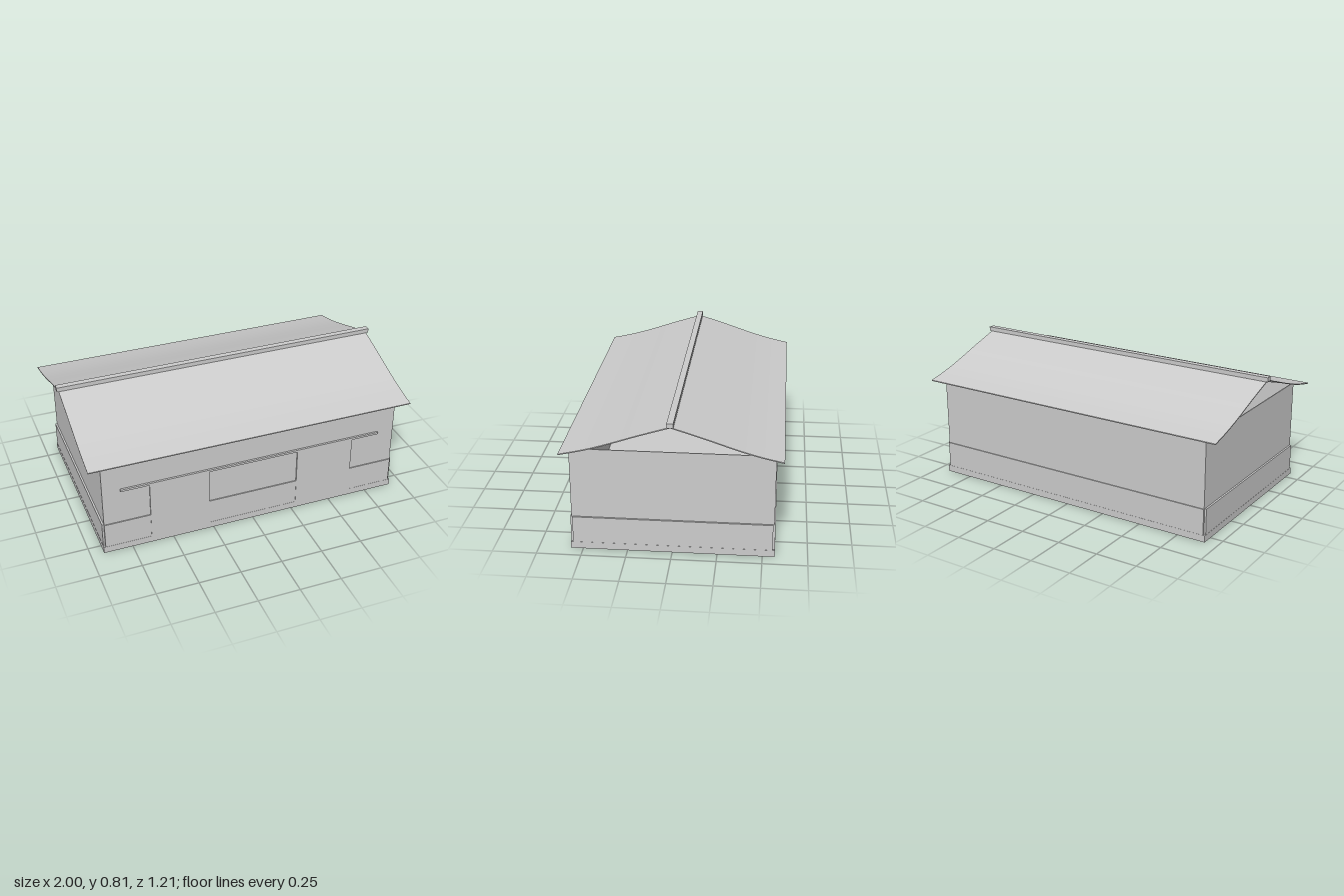
import * as THREE from 'three';

export function createModel() {
  const group = new THREE.Group();
  const paleGrey = new THREE.MeshStandardMaterial({ color: 0xcccccc });

  // Box given by its lower and upper limits on each axis
  function box(name, x0, x1, y0, y1, z0, z1) {
    const mesh = new THREE.Mesh(new THREE.BoxGeometry(x1 - x0, y1 - y0, z1 - z0), paleGrey);
    mesh.position.set((x0 + x1) / 2, (y0 + y1) / 2, (z0 + z1) / 2);
    mesh.name = name;
    group.add(mesh);
  }

  // Floor slab
  box('floorSlab', -0.922, 0.922, 0, 0.04, -0.569, 0.569);

  // Thin walls, open under the roof, with a lower band of cladding
  for (const s of [-1, 1]) {
    const longName = s > 0 ? 'front' : 'back';
    const sideName = s > 0 ? 'left' : 'right';
    const span = (a, b) => (s > 0 ? [a, b] : [-b, -a]);
    box(longName + 'Wall', -0.91, 0.91, 0.04, 0.605, ...span(0.556, 0.562));
    box(longName + 'Cladding', -0.91, 0.91, 0.04, 0.195, ...span(0.562, 0.568));
    box(sideName + 'Wall', ...span(0.904, 0.91), 0.04, 0.605, -0.556, 0.556);
    box(sideName + 'Cladding', ...span(0.91, 0.921), 0.04, 0.195, -0.556, 0.556);
  }

  // Sliding doors hanging from one long rail
  box('leftDoor', 0.277, 0.634, 0.04, 0.407, 0.562, 0.57);
  box('rightDoor', -0.634, -0.277, 0.04, 0.407, 0.562, 0.57);
  box('doorRail', -0.805, 0.805, 0.409, 0.422, 0.562, 0.574);

  // Thin roof sheets, slightly concave towards the eaves
  const slope = new THREE.SplineCurve([
    [0, 0.785], [0.1, 0.754], [0.2, 0.722], [0.3, 0.688], [0.4, 0.656], [0.5, 0.629], [0.605, 0.606],
  ].map(([z, y]) => new THREE.Vector2(z, y))).getPoints(18);
  const upper = [...slope.slice(1).reverse().map(p => new THREE.Vector2(-p.x, p.y)), ...slope];
  const lower = upper.map(p => new THREE.Vector2(p.x, p.y - 0.006)).reverse();
  const roofGeometry = new THREE.ExtrudeGeometry(new THREE.Shape([...upper, ...lower]), {
    depth: 1.976, bevelEnabled: false,
  });
  roofGeometry.translate(0, 0, -0.988).rotateY(Math.PI / 2);
  const roof = new THREE.Mesh(roofGeometry, paleGrey);
  roof.name = 'roof';
  group.add(roof);

  // Ridge beam
  box('ridgeCap', -1, 1, 0.784, 0.81, -0.018, 0.018);

  return group;
}
